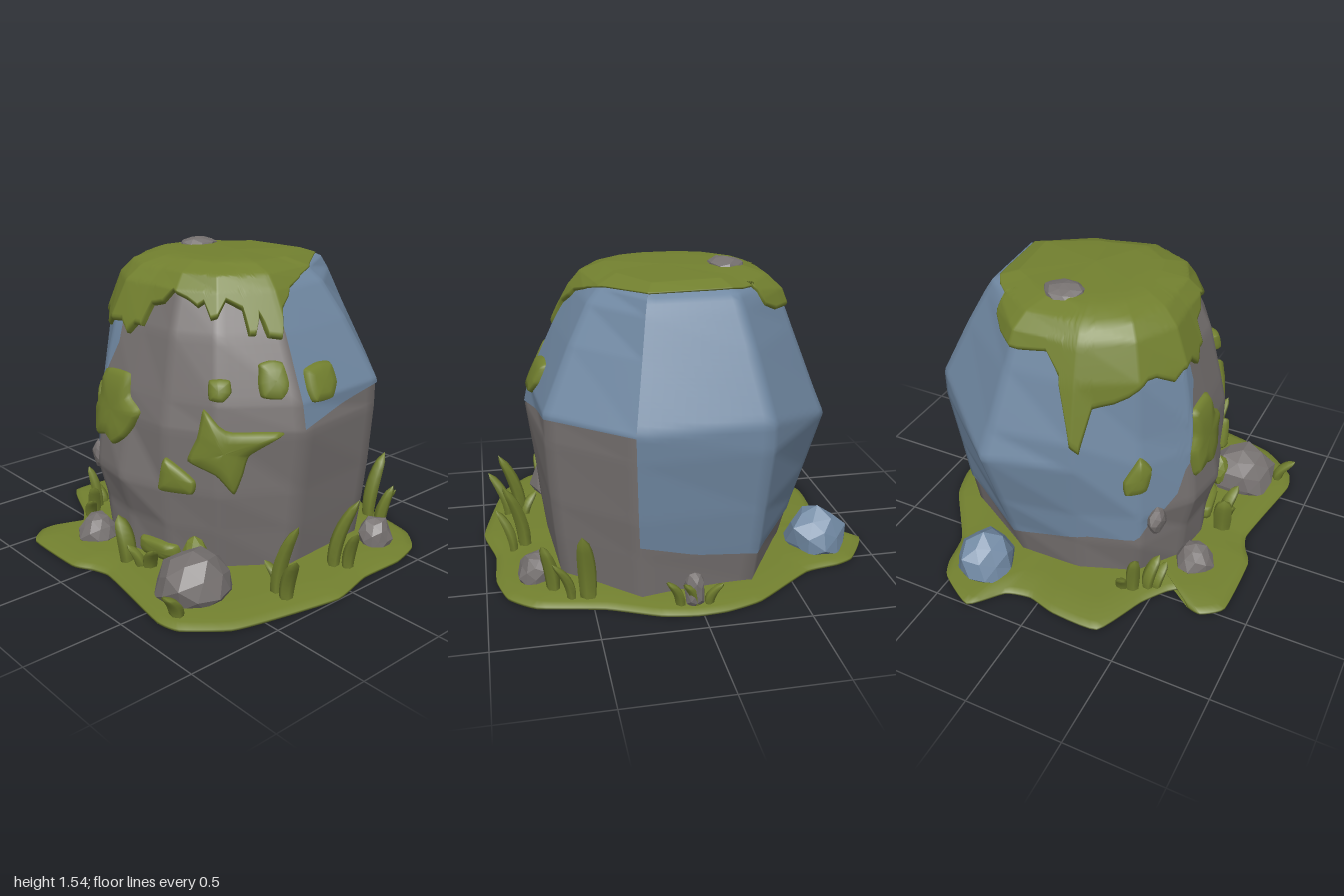
import * as THREE from 'three';

const V = (x, y, z) => new THREE.Vector3(x, y, z);
const mat = (name, color) => new THREE.MeshStandardMaterial({ name, color, side: THREE.DoubleSide });

// Boulder cross-sections: radii at the angles below (0 = front, 90 = +x), one ring per height
const ANGLES = [0, 25, 50, 83, 125, 160, 203, 246, 280, 310, 338, 360];
const RINGS = [
  [0.02, [.56, .56, .58, .66, .76, .78, .74, .60, .55, .57, .57]],
  [0.25, [.57, .59, .62, .69, .79, .81, .78, .66, .58, .62, .59]],
  [0.45, [.63, .61, .65, .71, .81, .84, .81, .72, .60, .62, .64]],
  [0.76, [.57, .61, .65, .75, .83, .87, .86, .81, .64, .60, .61]],
  [0.90, [.55, .58, .63, .72, .83, .88, .86, .75, .63, .57, .59]],
  [1.20, [.47, .51, .54, .58, .66, .72, .71, .63, .56, .54, .52]],
  [1.38, [.39, .43, .45, .48, .54, .63, .61, .56, .50, .47, .44]],
  [1.45, [.32, .36, .40, .42, .46, .585, .565, .48, .44, .40, .36]],
  [1.49, [.20, .22, .26, .30, .34, .46, .43, .34, .32, .26, .22]],
];
const SEG = ANGLES.length - 1;
const TOP = 1.49;
const APEX = V(0.05, 1.5, -0.1);

const corner = (i, j) => {
  const a = THREE.MathUtils.degToRad(ANGLES[i % SEG]), [y, r] = RINGS[j];
  return V(Math.sin(a) * r[i % SEG], y, Math.cos(a) * r[i % SEG]);
};

// Point on the faceted boulder at an angle and height, pushed outwards by off
function onRock(deg, y, off = 0) {
  deg = (deg % 360 + 360) % 360;
  let i = 0, j = 0;
  while (i < SEG - 1 && deg >= ANGLES[i + 1]) i++;
  while (j < RINGS.length - 2 && y >= RINGS[j + 1][0]) j++;
  const s = (deg - ANGLES[i]) / (ANGLES[i + 1] - ANGLES[i]);
  const t = THREE.MathUtils.clamp((y - RINGS[j][0]) / (RINGS[j + 1][0] - RINGS[j][0]), 0, 1);
  const b = corner(i + 1, j), d = corner(i, j + 1), far = s + t > 1;
  const o = far ? corner(i + 1, j + 1) : corner(i, j);
  const p = o.clone().addScaledVector((far ? d : b).clone().sub(o), far ? 1 - s : s)
    .addScaledVector((far ? b : d).clone().sub(o), far ? 1 - t : t);
  const a = THREE.MathUtils.degToRad(deg), up = y > 0.9 ? Math.min(1, (y - 0.9) * 1.5) : 0;
  return p.addScaledVector(V(Math.sin(a), up, Math.cos(a)).normalize(), off);
}

// Skin rows of points, running left to right and bottom to top
function loft(rows, closed = true) {
  const n = rows[0].length, pos = [], index = [];
  rows.forEach(r => r.forEach(p => pos.push(p.x, p.y, p.z)));
  for (let j = 0; j < rows.length - 1; j++)
    for (let i = 0; i < (closed ? n : n - 1); i++) {
      const a = j * n + i, b = j * n + (i + 1) % n;
      index.push(a, b, a + n, b, b + n, a + n);
    }
  const g = new THREE.BufferGeometry();
  g.setAttribute('position', new THREE.Float32BufferAttribute(pos, 3));
  g.setIndex(index);
  g.computeVertexNormals();
  return g;
}

const range = (n, f) => Array.from({ length: n }, (_, i) => f(i));
const lookup = (table, a) => {
  let k = 0;
  while (k < table.length - 2 && a >= table[k + 1][0]) k++;
  const [a0, y0] = table[k], [a1, y1] = table[k + 1];
  return THREE.MathUtils.lerp(y0, y1, THREE.MathUtils.clamp((a - a0) / (a1 - a0), 0, 1));
};
// Angles that hit every vertical crease, limited to a span
const columns = (from, to, steps) => range(SEG * steps, k => {
  const i = Math.floor(k / steps);
  return THREE.MathUtils.lerp(ANGLES[i], ANGLES[i + 1], (k % steps) / steps);
}).filter(a => a >= from && a <= to);
const closeTop = (row, apex) => [0.3, 0.6, 0.85, 1].map(t => row.map(p => p.clone().lerp(apex, t)));

// Closed, slightly rounded outline from [x, y] pairs listed clockwise, returned anticlockwise
const outline = (pts, n) => new THREE.CatmullRomCurve3(pts.map(([x, y]) => V(x, y, 0)), true, 'catmullrom', 0.25)
  .getPoints(n).slice(0, n).reverse();

// Faceted lump, cut flat at floor (measured from its centre)
function pebbleGeometry(sx, sy, sz, seed, floor) {
  const g = new THREE.IcosahedronGeometry(1, 1), p = g.attributes.position, v = V(0, 0, 0);
  for (let i = 0; i < p.count; i++) {
    v.fromBufferAttribute(p, i);
    const k = 1 + 0.12 * Math.sin(v.x * 4 + seed) * Math.cos(v.z * 3 + v.y * 4 + seed * 2);
    p.setXYZ(i, v.x * k * sx, Math.max(floor, v.y * k * sy), v.z * k * sz);
  }
  g.computeVertexNormals();
  return g;
}

// Fat curved blade that tapers to a point and bends by (lx, lz)
function bladeGeometry(h, w, lx, lz) {
  const turn = Math.atan2(lx, lz);
  return loft(range(9, j => {
    const t = j / 8, r = w * (0.75 + 0.9 * t) * Math.sqrt(1 - t);
    return range(6, i => {
      const a = i * Math.PI / 3;
      return V(Math.sin(a) * r, 0, Math.cos(a) * r * 0.75).applyAxisAngle(V(0, 1, 0), turn)
        .add(V(lx * t * t, h * t, lz * t * t));
    });
  }));
}

export function createModel() {
  const root = new THREE.Group();
  root.name = 'mossyBoulder';
  const grey = mat('greyStone', 0x767170), blue = mat('blueStone', 0x7088a2), moss = mat('moss', 0x72802f);
  const add = (name, geo, m, x = 0, y = 0, z = 0) => {
    const mesh = new THREE.Mesh(geo, m);
    mesh.name = name;
    mesh.position.set(x, y, z);
    root.add(mesh);
  };

  // Boulder
  const around = columns(0, 360, 8);
  const rows = range((RINGS.length - 1) * 8 + 1, k => {
    const j = Math.min(RINGS.length - 2, Math.floor(k / 8));
    const y = THREE.MathUtils.lerp(RINGS[j][0], RINGS[j + 1][0], k / 8 - j);
    return around.map(a => onRock(a, y));
  });
  add('boulder', loft([...rows, ...closeTop(rows[rows.length - 1], APEX)]), grey);

  // Blue stone facing: +x side above the waist, then back and -x side nearly to the ground
  const blueSpans = [
    [83, 160, [[83, .78], [110, .85], [125, .88], [160, .89]]],
    [160, 345, [[160, .32], [180, .24], [203, .2], [246, .2], [285, .3], [308, .3], [318, .42], [329, .54],
      [333, .66], [336, .7], [339, .93], [345, 1.1]]],
  ];
  for (const [from, to, edge] of blueSpans) {
    const cols = [...columns(from, to - 0.1, 12), to];
    add('blueFacing', loft(range(49, k => cols.map(a =>
      onRock(a, THREE.MathUtils.lerp(lookup(edge, a), 1.47, k / 48), 0.008))), false), blue);
  }

  // Moss cap with drips, thinner at the back
  const drips = [[0, 1.2], [2, 1.2], [5, 1.3], [14, 1.32], [22, 1.38], [32, 1.35], [38, 1.32], [42, 1.34], [46, 1.27],
    [50, 1.28], [54, 1.35], [62, 1.31], [65, 1.2], [68, 1.2], [70, 1.29], [74, 1.19], [80, 1.18], [84, 1.3], [95, 1.38],
    [110, 1.42], [130, 1.45], [160, 1.46], [203, 1.46], [221, 1.44], [225, 1.35], [234, 1.31], [250, 1.3], [264, 1.32],
    [272, 1.22], [279, .9], [283, .86], [288, 1.08], [298, 1.1], [305, 1.13], [315, 1.2], [320, 1.2], [330, 1.15],
    [336, 1.19], [346, 1.2], [352, 1.15], [357, 1.2], [360, 1.2]];
  const thickness = [[0, .032], [80, .032], [115, .016], [215, .016], [240, .028], [360, .032]];
  const capCols = range(360, i => i);
  const capRow = (t, k) => capCols.map(a =>
    onRock(a, THREE.MathUtils.lerp(lookup(drips, a), TOP, t), k * lookup(thickness, a)));
  const capRows = [capRow(0, -0.3), capRow(0, 0.65), ...range(24, k => capRow((k + 1) / 24, 1))];
  add('mossCap', loft([...capRows, ...closeTop(capRows[capRows.length - 1], APEX.clone().setY(1.515))]), moss);

  // Moss patches hugging the boulder: angle, height, outline
  const chip = [[-.45, .4], [.05, .5], [.45, .42], [.5, -.1], [.2, -.5], [-.4, -.45], [-.5, -.1]];
  const sized = (w, h) => chip.map(([x, y]) => [x * w, y * h]);
  const patches = [
    [-9, .78, [[-.11, .18], [.07, .19], [.1, .08], [.18, .02], [.1, -.12], [.02, -.18], [-.05, -.15], [-.13, -.17], [-.15, -.03], [-.12, .06]]],
    [52, .68, [[-.1, .2], [.02, .1], [.26, .09], [.12, -.02], [.09, -.12], [.05, -.22], [-.03, -.12], [-.18, -.06], [-.13, .06]]],
    [31, .53, [[-.05, .09], [.09, -.01], [.08, -.08], [-.09, -.08], [-.08, .02]]],
    [50, .97, sized(.11, .1)], [72, 1.01, sized(.14, .17)], [94, .97, sized(.18, .17)],
    [-51, .7, [[.01, .11], [.07, .04], [.04, -.08], [-.06, -.1], [-.07, -.02]]], [19, .1, sized(.24, .1)],
  ];
  for (const [deg, y, pts] of patches) {
    const line = outline(pts, 40), mid = onRock(deg, y), r = Math.hypot(mid.x, mid.z);
    const ring = ([k, off]) => line.map(p => onRock(deg + THREE.MathUtils.radToDeg(p.x * k / r), y + p.y * k, off));
    add('mossPatch', loft([[1, -0.02], [0.98, 0.015], [0.85, 0.033], [0.5, 0.038], [0.25, 0.04], [0, 0.04]].map(ring)), moss);
  }

  // Ground patch
  const ground = outline([[-1, -.32], [-.88, -.52], [-.78, -.57], [-.6, -.61], [-.3, -.83], [-.12, -.89], [.03, -.9], [.2, -.87],
    [.45, -.76], [.77, -.69], [.9, -.58], [.95, -.4], [.945, -.15], [1, .1], [.93, .45], [.87, .66], [.72, .84], [.6, .87],
    [.3, .82], [.1, .79], [0, .82], [-.1, .87], [-.45, .87], [-.54, .77], [-.52, .69], [-.42, .63], [-.47, .56], [-.6, .47],
    [-.86, .35], [-.86, .1], [-.82, -.05], [-.85, -.18]], 160);
  add('groundPatch', loft([[0, 0], [1, 0], [1, .012], [.96, .025], [.8, .045], [0, .05]]
    .map(([k, y]) => ground.map(p => V(p.x * k, y, p.y * k)))), moss);

  // Pebbles resting on the ground, the boulder and its top: x, y, z, half sizes, material
  [[-.73, .06, -.37, .16, .175, .15, blue], [-.24, .05, .62, .1, .12, .1, grey], [.53, .07, .6, .18, .175, .19, grey],
    [.76, .06, -.44, .085, .115, .09, grey], [.03, .09, -.82, .05, .1, .05, grey], [-.4, .41, .46, .07, .08, .045, grey],
    [-.27, 1.495, -.11, .095, .045, .11, grey], [.42, .14, .5, .07, .1, .06, moss]]
    .forEach(([x, y, z, sx, sy, sz, m], i) =>
      add(m === moss ? 'mossLump' : 'pebble', pebbleGeometry(sx, sy, sz, i + 1, 0.02 - y), m, x, y, z));

  // Grass blades: x, z, height, half width, bend x, bend z
  [[.79, .3, .37, .055, .11, -.02], [.86, .31, .24, .045, .1, .04], [.77, .27, .13, .04, -.07, .03],
    [.79, -.09, .37, .055, .1, -.06], [.85, -.13, .22, .04, .08, .03], [.52, -.67, .36, .055, .03, -.08],
    [.6, -.66, .2, .04, .09, -.03], [.68, -.57, .26, .05, .05, -.04], [.64, .79, .13, .05, .02, .09],
    [.08, .65, .24, .065, -.05, .02], [.17, .64, .12, .045, -.04, .05], [.22, .62, .14, .045, .08, .04],
    [-.55, .4, .24, .045, -.04, .03], [-.5, .46, .18, .045, .06, .04], [-.57, .35, .12, .04, -.07, .02],
    [-.48, .5, .12, .04, .07, .03], [.03, -.83, .13, .04, .06, -.04], [-.04, -.83, .11, .04, -.06, -.03],
    [.1, -.82, .14, .04, .07, -.03]]
    .forEach(([x, z, h, w, lx, lz]) => add('grassBlade', bladeGeometry(h, w, lx, lz), moss, x, 0.03, z));

  return root;
}
